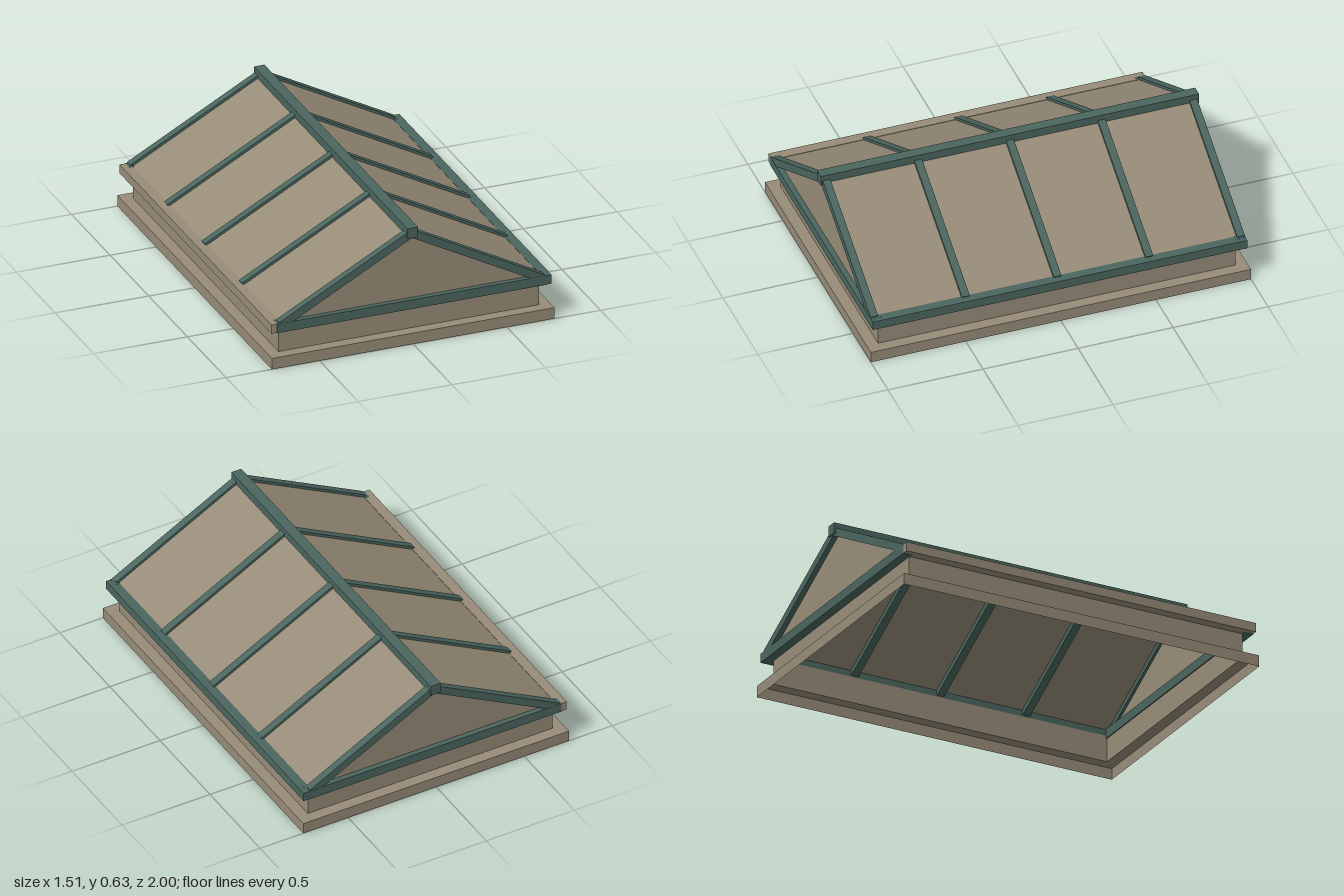
import * as THREE from 'three';

const SLOPE = 0.536; // roof fall per unit of x

export function createModel() {
  const tan = new THREE.MeshStandardMaterial({ color: 0x978c78, side: THREE.DoubleSide });
  tan.name = 'tan';
  const green = new THREE.MeshStandardMaterial({ color: 0x4b665f });
  green.name = 'dark green';

  const model = new THREE.Group();
  model.name = 'skylight';

  const add = (name, geometry, material) => {
    const mesh = new THREE.Mesh(geometry, material);
    mesh.name = name;
    model.add(mesh);
    return mesh;
  };
  const box = (name, material, x0, x1, y0, y1, z0, z1) => {
    const mesh = add(name, new THREE.BoxGeometry(x1 - x0, y1 - y0, z1 - z0), material);
    mesh.position.set((x0 + x1) / 2, (y0 + y1) / 2, (z0 + z1) / 2);
    return mesh;
  };
  // Flat sheet from a fan of corners
  const sheet = (name, corners) => {
    const points = [];
    for (let i = 1; i < corners.length - 1; i++) {
      points.push(...corners[0], ...corners[i], ...corners[i + 1]);
    }
    const geometry = new THREE.BufferGeometry();
    geometry.setAttribute('position', new THREE.Float32BufferAttribute(points, 3));
    geometry.computeVertexNormals();
    return add(name, geometry, tan);
  };

  // Sheet metal curb: skirt, flange and upright, as rectangular rings [x, y, z]
  const rings = [[0.755, 0, 1], [0.755, 0.06, 1], [0.695, 0.06, 0.94], [0.695, 0.2, 0.94]];
  const parts = ['skirt', 'flange', 'curbWall'];
  const signs = [[1, 1], [1, -1], [-1, -1], [-1, 1]];
  const corner = ([x, y, z], k) => [x * signs[k % 4][0], y, z * signs[k % 4][1]];
  parts.forEach((name, r) => {
    for (let k = 0; k < 4; k++) {
      sheet(name, [corner(rings[r], k), corner(rings[r], k + 1),
        corner(rings[r + 1], k + 1), corner(rings[r + 1], k)]);
    }
  });

  // Sills: the right eave is green, the left one is tan
  box('rightSill', green, 0.695, 0.745, 0.187, 0.235, -0.985, 0.985);
  box('leftSill', tan, -0.75, -0.697, 0.187, 0.235, -0.984, 0.984);
  for (const s of [-1, 1]) {
    box('gableSill', green, -0.72, 0.72, 0.186, 0.236, s * 0.96 - 0.026, s * 0.96 + 0.026);
  }

  // Roof panes and gable panels
  const apex = 0.606, eave = 0.71;
  for (const s of [-1, 1]) {
    const low = apex - SLOPE * eave;
    const pane = [[0, apex, 0.962], [s * eave, low, 0.962], [s * eave, low, -0.962], [0, apex, -0.962]];
    sheet('roofPane', s > 0 ? pane : pane.reverse());
    const gable = [[-0.69, 0.225, s * 0.958], [0.69, 0.225, s * 0.958], [0, 0.6, s * 0.958]];
    sheet('gablePanel', s > 0 ? gable : gable.reverse());
  }

  // Rafters on both slopes
  const angle = Math.atan(SLOPE);
  const from = 0.005, to = 0.7;
  const mid = (from + to) / 2;
  for (const s of [-1, 1]) {
    for (let i = -2; i <= 2; i++) {
      const bar = add('rafter', new THREE.BoxGeometry((to - from) / Math.cos(angle), 0.041, 0.04), green);
      bar.position.set(s * mid, 0.598 - SLOPE * mid, i * 0.4825);
      bar.rotation.z = -s * angle;
    }
  }

  // Ridge beam
  box('ridgeBeam', green, -0.028, 0.028, 0.578, 0.634, -0.995, 0.995);

  return model;
}
